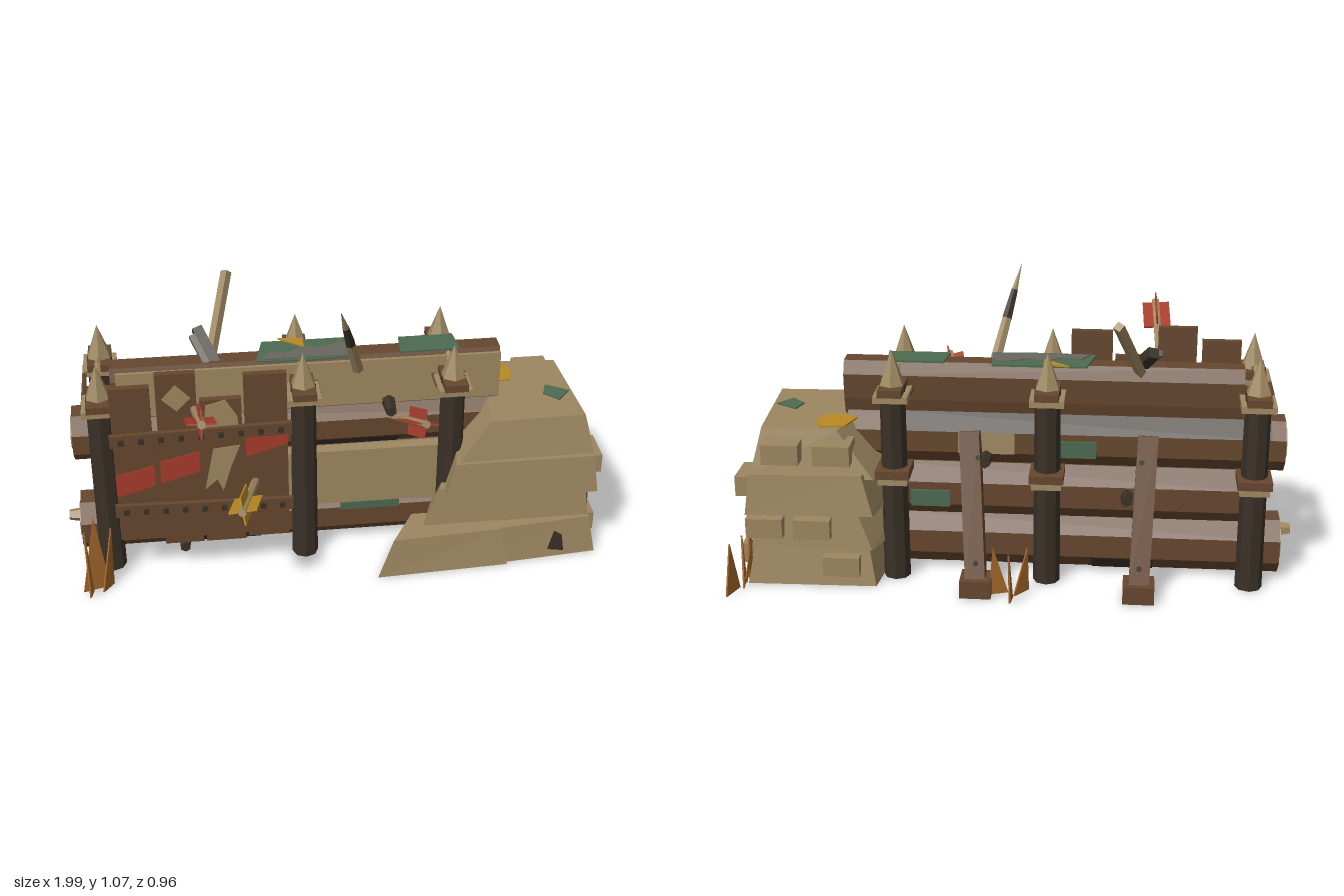
import * as THREE from 'three';

const V = (x, y, z) => new THREE.Vector3(x, y, z);

export function createModel() {
  const root = new THREE.Group();
  const mat = (name, color) => Object.assign(new THREE.MeshStandardMaterial({ color }), { name });
  const stone = mat('stone', 0x9c8660), pale = mat('paleWood', 0x9f8962), brown = mat('brownWood', 0x66472e);
  const dark = mat('darkWood', 0x3a3127), red = mat('redPaint', 0xa83c2b), yellow = mat('yellowPaint', 0xb98a20);
  const moss = mat('moss', 0x4c6a50), dry = mat('dryGrass', 0xa5682c), iron = mat('iron', 0x67665f);

  // Faceted mesh helper
  const add = (name, geo, m, parent = root) => {
    const g = geo.index ? geo.toNonIndexed() : geo;
    g.computeVertexNormals();
    const mesh = new THREE.Mesh(g, m);
    mesh.name = name;
    parent.add(mesh);
    return mesh;
  };
  // Box given by its limits
  const box = (name, m, x0, x1, y0, y1, z0, z1) => {
    const b = add(name, new THREE.BoxGeometry(x1 - x0, y1 - y0, z1 - z0), m);
    b.position.set((x0 + x1) / 2, (y0 + y1) / 2, (z0 + z1) / 2);
    return b;
  };
  // Tapered rod from a to b
  const rod = (name, m, a, b, r0, r1, sides = 6) => {
    const d = b.clone().sub(a);
    const r = add(name, new THREE.CylinderGeometry(r1, r0, d.length(), sides), m);
    r.position.copy(a).lerp(b, 0.5);
    r.quaternion.setFromUnitVectors(V(0, 1, 0), d.normalize());
    return r;
  };
  // Thin flat patch from an outline
  const patch = (name, m, pts, pos, rx = 0, ry = 0) => {
    const s = new THREE.Shape(pts.map(p => new THREE.Vector2(...p)));
    const p = add(name, new THREE.ExtrudeGeometry(s, { depth: 0.006, bevelEnabled: false }), m);
    p.position.set(...pos);
    p.rotation.set(rx, ry, 0);
    return p;
  };

  // Stacked eight-sided logs along x; a face range makes a thin bark shell (face 0 is the front, counted upwards)
  const log = (name, m, x0, x1, y, r, face = 0, count = 8) => {
    const g = new THREE.CylinderGeometry(r, r, x1 - x0, count, 1, count < 8, (face - 0.5) * Math.PI / 4, count * Math.PI / 4);
    g.rotateZ(Math.PI / 2);
    add(name, g, m).position.set((x0 + x1) / 2, y, -0.09);
  };
  log('bottomLog', brown, -0.95, 0.6, 0.125, 0.11);
  log('lowerLog', brown, -0.86, 0.6, 0.315, 0.11);
  log('upperLog', brown, -0.95, 0.6, 0.51, 0.1);
  log('darkBark', dark, -0.5, -0.28, 0.125, 0.114, -3, 3);
  log('darkBark', dark, -0.08, 0.24, 0.51, 0.104, -1, 1);
  log('darkBark', dark, -0.9, 0.45, 0.51, 0.104, 3, 1);
  log('bareWood', pale, 0.0, 0.2, 0.51, 0.104, 4, 1);
  log('logEnd', pale, -0.957, -0.949, 0.51, 0.06);
  log('logEnd', pale, -0.957, -0.949, 0.125, 0.065);
  rod('logSplinter', pale, V(-0.9, 0.16, -0.065), V(-0.995, 0.165, -0.065), 0.035, 0.02, 5);
  box('lowerSplitFace', pale, -0.18, 0.4, 0.2, 0.43, -0.02, 0.025);
  for (const [x, y, z] of [[-0.57, 0.06, 0.05], [0.1, 0.46, -0.25], [-0.4, 0.33, -0.25], [0.2, 0.6, 0.05]])
    rod('branchStub', dark, V(x, y, -0.09), V(x, y, z), 0.03, 0.02);

  // Narrow split log on top
  const section = [[0.035, 0.59], [0.035, 0.74], [0.055, 0.787], [0.122, 0.787], [0.145, 0.74], [0.14, 0.65], [0.125, 0.59]];
  const beam = new THREE.ExtrudeGeometry(new THREE.Shape(section.map(p => new THREE.Vector2(...p))), { depth: 1.41, bevelEnabled: false });
  add('topLog', beam.rotateY(Math.PI / 2), [pale, brown]).position.x = -0.8;
  box('topSplitFace', pale, -0.78, 0.61, 0.595, 0.775, -0.042, -0.03);

  // Pointed posts with collars, in pairs
  for (const x of [-0.84, -0.12, 0.42]) {
    for (const z of [0.055, -0.24]) {
      rod('post', dark, V(x, 0.015, z), V(x, 0.74, z), 0.048, 0.045, 8);
      box('postCollar', brown, x - 0.042, x + 0.042, 0.715, 0.742, z - 0.077, z + 0.077);
      box('postRope', pale, x - 0.06, x + 0.06, 0.69, 0.715, z - 0.064, z + 0.064);
      rod('postPoint', pale, V(x, 0.742, z), V(x, 0.868, z), 0.046, 0, 6);
      rod('lashing', pale, V(x, 0.785, -0.09), V(x, 0.745, z > 0 ? 0.02 : -0.2), 0.012, 0.012);
    }
    box('backCollar', brown, x - 0.06, x + 0.06, 0.41, 0.44, -0.31, -0.18);
    box('backRope', pale, x - 0.052, x + 0.052, 0.385, 0.41, -0.302, -0.188);
    for (const s of [-0.055, 0.055])
      rod('crossTie', brown, V(x + s, 0.7, -0.24), V(x + s, 0.7, 0.055), 0.009, 0.009);
  }

  // Leaning braces behind
  for (const [x0, x1] of [[-0.45, -0.47], [0.12, 0.155]]) {
    const b = rod('brace', brown, V(x0, 0.05, -0.37), V(x1, 0.56, -0.2), 0.05, 0.05, 4);
    b.rotateY(Math.PI / 4);
    box('braceFoot', brown, x0 - 0.055, x0 + 0.055, 0.015, 0.08, -0.42, -0.32);
    for (const t of [0.15, 0.85])
      rod('bracePeg', dark, V(x0, 0.05 + t * 0.5, -0.37 + t * 0.17), V(x0, 0.06 + t * 0.5, -0.41 + t * 0.17), 0.01, 0.01);
  }

  // Plank shield on the front
  const planks = [[-0.8, -0.66, 0.18, 0.815], [-0.64, -0.5, 0.15, 0.862], [-0.49, -0.345, 0.15, 0.75], [-0.335, -0.185, 0.16, 0.842]];
  planks.forEach(([a, b, c, d]) => box('plank', brown, a, b, c, d, 0.115, 0.14));
  box('plankBacking', brown, -0.79, -0.2, 0.19, 0.6, 0.1, 0.12);
  for (const y of [0.31, 0.618]) {
    const rail = box('shieldRail', brown, -0.81, -0.17, y - 0.024, y + 0.024, 0.138, 0.158);
    rail.rotation.z = y > 0.5 ? 0.025 : -0.02;
    for (let i = 0; i < 9; i++) {
      const x = -0.77 + i * 0.07, by = y + (x + 0.49) * Math.tan(rail.rotation.z);
      box('bolt', dark, x - 0.01, x + 0.01, by - 0.01, by + 0.01, 0.155, 0.167);
    }
  }
  const stripeY = x => 0.37 + (x + 0.8) * 0.3;
  for (const i of [0, 1, 3]) {
    const [a, b] = planks[i];
    patch('redStripe', red, [[a, stripeY(a)], [b, stripeY(b)], [b, stripeY(b) + 0.085], [a, stripeY(a) + 0.09]], [0, 0, 0.137]);
  }
  patch('wornPatch', pale, [[-0.05, 0], [0, -0.05], [0.05, 0], [0, 0.055]], [-0.57, 0.765, 0.137]);
  patch('wornPatch', pale, [[-0.065, -0.02], [0.065, -0.03], [0.06, 0.05], [0.02, 0.12], [-0.05, 0.1]], [-0.42, 0.63, 0.137]);
  patch('wornPatch', pale, [[-0.065, -0.07], [-0.02, -0.03], [0.0, -0.08], [0.03, 0.02], [0.065, 0.11], [-0.03, 0.1]], [-0.42, 0.45, 0.137]);

  // Arrows stuck in the front, with crossed feathers
  const arrow = (m, tip, tail) => {
    rod('arrowShaft', pale, tip, tail, 0.015, 0.015);
    const f = new THREE.Group();
    f.name = 'arrowFletching';
    for (const a of [0, Math.PI / 2])
      add('feather', new THREE.BoxGeometry(0.1, 0.145, 0.006).rotateY(a), m, f);
    const d = tail.clone().sub(tip).normalize();
    f.position.copy(tail).addScaledVector(d, -0.085);
    f.quaternion.setFromUnitVectors(V(0, 1, 0), d);
    root.add(f);
  };
  arrow(red, V(-0.51, 0.705, 0.11), V(-0.49, 0.86, 0.475));
  arrow(yellow, V(-0.3, 0.395, 0.12), V(-0.37, 0.487, 0.455));
  arrow(red, V(0.2, 0.54, -0.03), V(0.285, 0.69, 0.29));

  // Slanting spear with a dark grip
  const s0 = V(0.085, 0.75, -0.02), s1 = V(0, 1.08, 0.165), at = t => s0.clone().lerp(s1, t);
  rod('spearShaft', pale, s0, at(0.45), 0.022, 0.018);
  rod('spearGrip', dark, at(0.45), at(0.73), 0.019, 0.013);
  rod('spearTip', pale, at(0.73), s1, 0.012, 0);

  // Axe stuck in the top log
  rod('axeHandle', pale, V(-0.44, 0.76, -0.12), V(-0.36, 1.0, -0.35), 0.02, 0.02, 4);
  rod('axeHead', dark, V(-0.48, 0.86, -0.185), V(-0.42, 0.76, -0.07), 0.026, 0.03, 4);
  rod('axeEdge', iron, V(-0.5, 0.85, -0.15), V(-0.45, 0.77, -0.06), 0.016, 0.016, 4);

  // Moss and worn metal plates
  const flat = -Math.PI / 2;
  patch('topMoss', moss, [[-0.28, 0.03], [-0.25, 0.17], [0.08, 0.17], [0.09, 0.03], [-0.1, 0.02]], [0, 0.792, 0], flat);
  patch('mossGap', iron, [[-0.26, 0.035], [-0.23, 0.09], [-0.16, 0.08], [-0.1, 0.12], [-0.04, 0.1], [0.03, 0.135], [0.08, 0.12], [0.08, 0.035]], [0, 0.795, 0], flat);
  patch('topMoss', moss, [[0.24, 0.04], [0.25, 0.15], [0.45, 0.15], [0.46, 0.04]], [0, 0.792, 0], flat);
  patch('yellowLeaf', yellow, [[-0.19, 0.18], [-0.1, 0.11], [-0.1, 0.17]], [0, 0.798, 0], flat);
  box('logMoss', moss, 0.02, 0.24, 0.17, 0.2, -0.01, 0.03);
  for (const [x, y] of [[-0.22, 0.5], [0.3, 0.3]])
    box('backMoss', moss, x - 0.07, x + 0.07, y - 0.03, y + 0.03, -0.205, -0.195);

  // Stone pile: tapered four-cornered slabs, corners front-left round to back-left
  const slab = (name, c, y0, y1, inset, leftInset = inset) => {
    const cx = c.reduce((s, p) => s + p[0], 0) / 4, cz = c.reduce((s, p) => s + p[1], 0) / 4;
    const low = c.map(([x, z]) => [x, y0, z]);
    const top = c.map(([x, z]) => [x < cx ? x + leftInset : x - inset, y1, z - Math.sign(z - cz) * inset]);
    const pos = [];
    const quad = (a, b, d, e) => pos.push(...a, ...b, ...d, ...a, ...d, ...e);
    for (let i = 0; i < 4; i++) quad(low[i], low[(i + 1) % 4], top[(i + 1) % 4], top[i]);
    quad(...top);
    quad(low[3], low[2], low[1], low[0]);
    const g = new THREE.BufferGeometry();
    g.setAttribute('position', new THREE.Float32BufferAttribute(pos, 3));
    add(name, g, stone);
  };
  slab('frontFootStone', [[0.13, 0.26], [0.62, 0.235], [0.6, 0.05], [0.22, 0.05]], 0.015, 0.16, 0.025, 0.06);
  slab('baseStone', [[0.42, 0.24], [0.965, 0.19], [0.94, -0.36], [0.48, -0.35]], 0.015, 0.158, 0.025);
  slab('secondStone', [[0.31, 0.155], [0.94, 0.15], [0.92, -0.34], [0.49, -0.35]], 0.155, 0.305, 0.02, 0.06);
  slab('thirdStone', [[0.38, 0.2], [0.95, 0.2], [0.93, -0.39], [0.48, -0.375]], 0.295, 0.44, 0.018, 0.04);
  slab('topStone', [[0.42, 0.175], [0.94, 0.165], [0.92, -0.32], [0.48, -0.34]], 0.42, 0.585, 0.04, 0.13);

  // Small stones pressed into the pile
  for (const [y, z] of [[0.34, 0.07], [0.34, -0.26], [0.062, 0.043], [0.062, -0.217]])
    box('sideStone', stone, 0.87, 0.975, y, y + 0.073, z - 0.07, z + 0.07);
  for (const [x, y] of [[0.62, 0.48], [0.8, 0.48], [0.7, 0.2], [0.87, 0.2], [0.6, 0.06]])
    box('backStone', stone, x - 0.065, x + 0.065, y, y + 0.072, -0.375, -0.26);
  const side = Math.PI / 2;
  patch('earthStain', brown, [[-0.12, 0.158], [-0.06, 0.158], [-0.075, 0.3], [-0.105, 0.3]], [0.937, 0, 0], 0, side);
  patch('earthStain', brown, [[0.19, 0.158], [0.26, 0.158], [0.255, 0.3], [0.205, 0.3]], [0.928, 0, 0], 0, side);
  patch('earthStain', brown, [[0.085, 0.07], [0.105, 0.152], [0.07, 0.152]], [0.945, 0, 0], 0, side);
  patch('sideCrack', dark, [[0.075, 0.31], [0.11, 0.31], [0.13, 0.41], [0.09, 0.37], [0.06, 0.41]], [0.936, 0, 0], 0, side);
  patch('frontCrack', dark, [[0.78, 0.05], [0.84, 0.04], [0.83, 0.11], [0.8, 0.13]], [0, 0, 0.202]);
  patch('yellowLichen', yellow, [[-0.07, -0.03], [-0.02, -0.06], [0.05, -0.05], [0.07, 0.02], [0.04, 0.07], [-0.04, 0.06]], [0.63, 0.584, -0.2], flat);
  patch('stoneMoss', moss, [[-0.05, 0], [0, -0.05], [0.05, 0.01], [-0.03, 0.06]], [0.83, 0.584, -0.035], flat);

  // Flat blades of dry grass: x, z, turn, half width, lean of the tip, height
  const blades = [
    [-0.9, 0.2, 0.3, 0.05, 0.01, 0.31], [-0.92, 0.235, 1.4, 0.025, -0.04, 0.28], [-0.86, 0.2, 0.9, 0.03, 0.04, 0.25],
    [-0.01, -0.42, 1.5, 0.03, 0.06, 0.19], [0.04, -0.37, 0.3, 0.035, 0.02, 0.18], [-0.04, -0.36, 0.8, 0.035, -0.03, 0.17],
    [0.94, -0.285, 1.3, 0.035, 0.01, 0.18], [0.95, -0.365, 1.7, 0.033, -0.03, 0.18],
    [0.975, -0.435, 1.2, 0.04, 0.0, 0.19], [0.95, -0.35, 2.0, 0.012, 0.13, 0.18],
  ];
  for (const [x, z, turn, w, lean, h] of blades)
    patch('grassBlade', dry, [[-w, 0], [w, 0], [lean, h]], [x, 0.015, z], (lean - 0.02) * 2, turn);
  return root;
}
